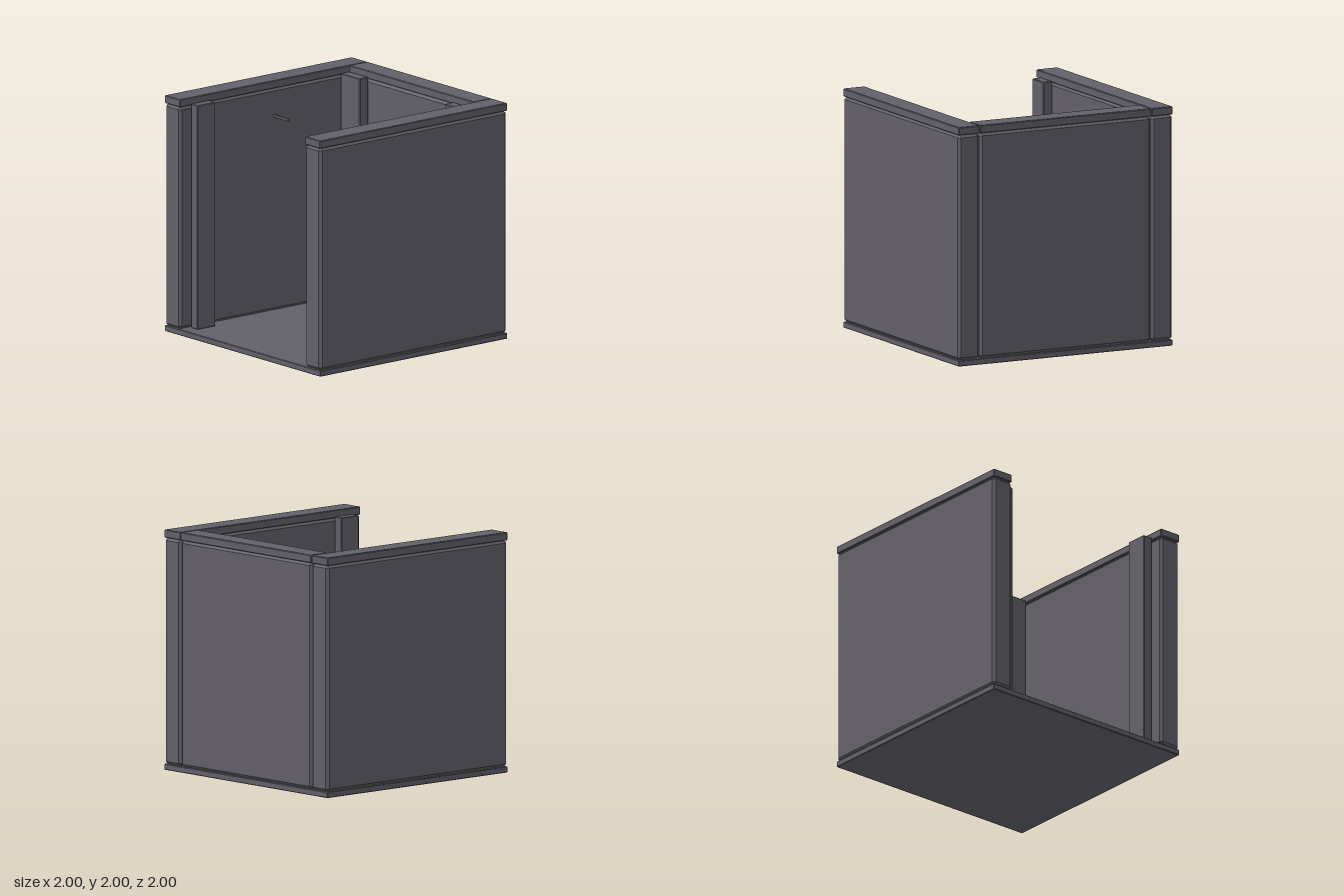
import * as THREE from 'three';
import { ConvexGeometry } from 'three/addons/geometries/ConvexGeometry.js';

// Box between two corners with every edge cut by a flat chamfer c
function chamferBox(min, max, c) {
  const pts = [];
  const h = max.map((v, i) => (v - min[i]) / 2);
  const mid = max.map((v, i) => (v + min[i]) / 2);
  for (const sx of [-1, 1]) for (const sy of [-1, 1]) for (const sz of [-1, 1]) {
    for (let axis = 0; axis < 3; axis++) {
      const [x, y, z] = h.map((v, i) => (i === axis ? v : v - c));
      pts.push(new THREE.Vector3(sx * x, sy * y, sz * z));
    }
  }
  return new ConvexGeometry(pts).translate(...mid);
}

export function createModel() {
  const model = new THREE.Group();
  model.name = 'openRoom';
  const slate = new THREE.MeshStandardMaterial({ color: 0x625f69 });
  slate.name = 'slateGrey';

  const add = (name, min, max, c) => {
    const mesh = new THREE.Mesh(chamferBox(min, max, c), slate);
    mesh.name = name;
    model.add(mesh);
  };
  // Adds a part on the +x side and its twin on the -x side
  const addPair = (name, min, max, c) => {
    add(name + 'Left', min, max, c);
    add(name + 'Right', [-max[0], min[1], min[2]], [-min[0], max[1], max[2]], c);
  };

  // Floor slab
  add('floor', [-1, 0, -1], [1, 0.05, 1], 0.005);

  // Walls, with wide chamfers that leave grooves at the joints
  addPair('sideWall', [0.803, 0.05, -1], [1, 1.933, 1], 0.022);
  add('backWall', [-0.8, 0.05, -1], [0.8, 1.933, -0.798], 0.022);

  // Caps along the wall tops
  addPair('sideCap', [0.803, 1.933, -1], [1, 2, 1], 0.006);
  add('backCap', [-0.798, 1.933, -1], [0.798, 2, -0.808], 0.006);

  // Corner posts at the back and door posts at the front
  addPair('backPost', [0.547, 0.05, -0.8], [0.793, 1.95, -0.708], 0.006);
  addPair('frontPost', [0.706, 0.05, 0.7], [0.793, 1.95, 0.893], 0.006);

  // Peg on the right wall
  add('wallPeg', [-0.805, 1.69, -0.017], [-0.605, 1.715, 0.008], 0.004);

  return model;
}
